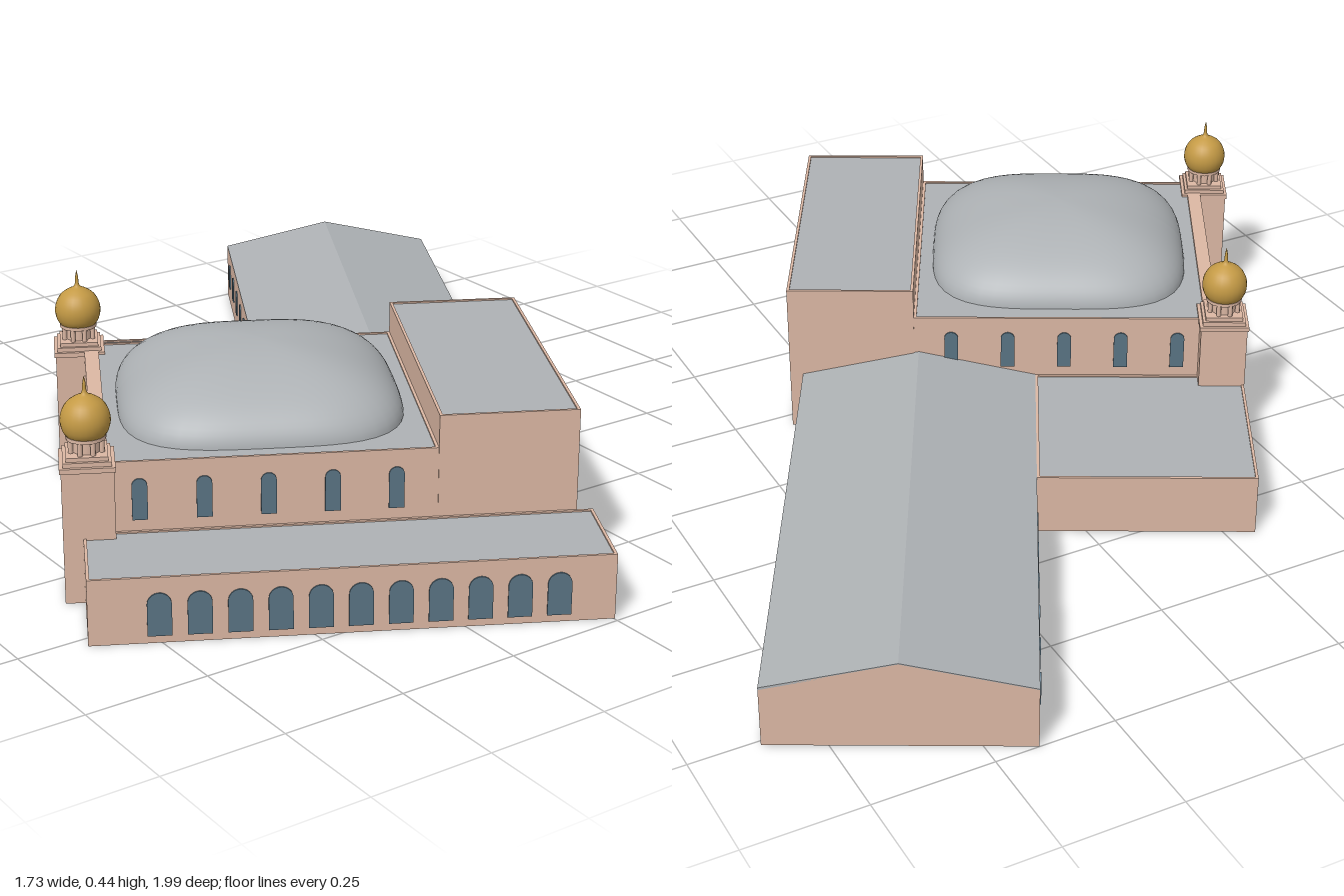
import * as THREE from 'three';

const mat = (color, extra = {}) => new THREE.MeshStandardMaterial({ color, ...extra });
const WALL = mat(0xdcb8a4, { side: THREE.DoubleSide });
const ROOF = mat(0xaeb2b5, { side: THREE.DoubleSide });
const GLASS = mat(0x5a7484);
const GOLD = mat(0xc49a45);
const RIM = 0.006;

function add(parent, name, geo, material, x = 0, y = 0, z = 0, ry = 0) {
  const m = new THREE.Mesh(geo, material);
  m.name = name;
  m.position.set(x, y, z);
  m.rotation.y = ry;
  parent.add(m);
  return m;
}

function box(parent, name, x0, x1, y0, y1, z0, z1, material) {
  return add(parent, name, new THREE.BoxGeometry(x1 - x0, y1 - y0, z1 - z0), material,
    (x0 + x1) / 2, (y0 + y1) / 2, (z0 + z1) / 2);
}

// Hollow building block: a ring of thin walls, open below, with a recessed flat roof
function block(parent, name, x0, x1, z0, z1, h) {
  const g = new THREE.Group();
  g.name = name;
  box(g, 'frontWall', x0, x1, 0, h, z1 - RIM, z1, WALL);
  box(g, 'backWall', x0, x1, 0, h, z0, z0 + RIM, WALL);
  box(g, 'leftWall', x1 - RIM, x1, 0, h, z0 + RIM, z1 - RIM, WALL);
  box(g, 'rightWall', x0, x0 + RIM, 0, h, z0 + RIM, z1 - RIM, WALL);
  box(g, 'flatRoof', x0 + RIM, x1 - RIM, h - 0.009, h - 0.003, z0 + RIM, z1 - RIM, ROOF);
  parent.add(g);
}

// Round-headed window pane, standing on its sill
function archGeometry(w, h) {
  const s = new THREE.Shape();
  s.moveTo(-w / 2, 0);
  s.lineTo(w / 2, 0);
  s.lineTo(w / 2, h - w / 2);
  s.absarc(0, h - w / 2, w / 2, 0, Math.PI, false);
  s.closePath();
  return new THREE.ExtrudeGeometry(s, { depth: 0.003, bevelEnabled: false, curveSegments: 8 });
}

// Evenly spaced windows between two points of a wall
function windowRow(parent, name, n, from, to, y, w, h, ry) {
  const geo = archGeometry(w, h);
  const g = new THREE.Group();
  g.name = name;
  for (let i = 0; i < n; i++) {
    const t = n > 1 ? i / (n - 1) : 0;
    add(g, 'archedWindow', geo, GLASS,
      from[0] + (to[0] - from[0]) * t, y, from[1] + (to[1] - from[1]) * t, ry);
  }
  parent.add(g);
}

function polygon(points) {
  return new THREE.Shape(points.map(([x, y]) => new THREE.Vector2(x, y)));
}

// Long wing with a low pitched roof
function gabledWing(parent) {
  const g = new THREE.Group();
  g.name = 'gabledWing';
  const x0 = -0.105, x1 = 0.405, xm = 0.15, z0 = -1.075, z1 = 0.01, eave = 0.133, ridge = 0.19;
  box(g, 'leftWall', x1 - RIM, x1, 0, eave - 0.002, z0, z1, WALL);
  box(g, 'rightWall', x0, x0 + RIM, 0, eave - 0.002, z0, z1, WALL);
  const gable = new THREE.ExtrudeGeometry(
    polygon([[x0, 0], [x1, 0], [x1, eave - 0.002], [xm, ridge - 0.002], [x0, eave - 0.002]]),
    { depth: RIM, bevelEnabled: false });
  for (const z of [z0, z1 - RIM]) add(g, 'gableWall', gable, WALL, 0, 0, z);
  const t = 0.005;
  add(g, 'pitchedRoof', new THREE.ExtrudeGeometry(
    polygon([[x0, eave - t], [xm, ridge - t], [x1, eave - t], [x1, eave], [xm, ridge], [x0, eave]]),
    { depth: z1 - z0, bevelEnabled: false }), ROOF, 0, 0, z0);
  windowRow(g, 'leftWindows', 10, [x1, -0.995], [x1, -0.075], 0.045, 0.03, 0.06, Math.PI / 2);
  windowRow(g, 'rightWindows', 6, [x0, -0.995], [x0, -0.484], 0.045, 0.03, 0.06, -Math.PI / 2);
  parent.add(g);
}

// Cushion-shaped dome: a half ellipsoid over a rounded square
function cushionDome(r, h) {
  const geo = new THREE.SphereGeometry(1, 64, 20, 0, Math.PI * 2, 0, Math.PI / 2);
  const p = geo.attributes.position;
  const n = 3.5;
  for (let i = 0; i < p.count; i++) {
    const x = p.getX(i), z = p.getZ(i), d = Math.hypot(x, z);
    const k = d < 1e-6 ? 0 : r * d / Math.pow(Math.abs(x) ** n + Math.abs(z) ** n, 1 / n);
    p.setXYZ(i, x * k, p.getY(i) * h, z * k);
  }
  geo.computeVertexNormals();
  return geo;
}

// Square corner tower with stepped cap, colonnaded lantern and golden dome
function tower(parent, x, z) {
  const g = new THREE.Group();
  g.name = 'cornerTower';
  g.position.set(x, 0, z);
  box(g, 'shaft', -0.05, 0.05, 0, 0.272, -0.05, 0.05, WALL);
  box(g, 'cornice', -0.053, 0.053, 0.268, 0.278, -0.053, 0.053, WALL);
  box(g, 'lowerStep', -0.046, 0.046, 0.278, 0.287, -0.046, 0.046, WALL);
  box(g, 'upperStep', -0.04, 0.04, 0.287, 0.295, -0.04, 0.04, WALL);
  add(g, 'lanternCore', new THREE.CylinderGeometry(0.027, 0.027, 0.035, 16), WALL, 0, 0.31, 0);
  const column = new THREE.CylinderGeometry(0.005, 0.005, 0.032, 8);
  for (let i = 0; i < 8; i++) {
    const a = (i + 0.5) * Math.PI / 4;
    add(g, 'lanternColumn', column, WALL, 0.032 * Math.cos(a), 0.309, 0.032 * Math.sin(a));
  }
  add(g, 'lanternRing', new THREE.CylinderGeometry(0.039, 0.039, 0.007, 16), WALL, 0, 0.324, 0);
  const profile = [[0.036, 0.325], [0.044, 0.337], [0.048, 0.355], [0.045, 0.374], [0.035, 0.391],
    [0.02, 0.402], [0.008, 0.408], [0.004, 0.416], [0.003, 0.43], [0, 0.445]];
  add(g, 'goldenDome', new THREE.LatheGeometry(
    new THREE.SplineCurve(profile.map(([r, y]) => new THREE.Vector2(r, y))).getPoints(30), 24), GOLD);
  parent.add(g);
}

export function createModel() {
  const model = new THREE.Group();
  model.name = 'domedHall';
  const site = new THREE.Group();
  site.name = 'building';
  site.rotation.y = -0.486;
  model.add(site);

  // Main masses
  block(site, 'mainHall', -0.5, 0.16, 0.01, 0.665, 0.275);
  block(site, 'tallBlock', 0.16, 0.433, 0.008, 0.667, 0.342);
  block(site, 'frontWing', -0.522, 0.465, 0.667, 0.875, 0.133);
  block(site, 'backWing', -0.559, -0.105, -0.395, 0.01, 0.133);
  gabledWing(site);

  // Parapet, dome and towers of the main hall
  box(site, 'entranceParapet', -0.5, -0.47, 0.255, 0.279, 0.02, 0.65, WALL);
  add(site, 'cushionDome', cushionDome(0.285, 0.13), ROOF, -0.158, 0.267, 0.34);
  for (const z of [0.02, 0.645]) tower(site, -0.51, z);

  // Windows
  windowRow(site, 'frontWingArches', 11, [-0.39, 0.875], [0.357, 0.875], 0.015, 0.046, 0.087, 0);
  windowRow(site, 'hallFrontWindows', 5, [-0.413, 0.665], [0.079, 0.665], 0.155, 0.03, 0.085, 0);
  windowRow(site, 'hallBackWindows', 5, [-0.413, 0.01], [0.079, 0.01], 0.155, 0.03, 0.085, Math.PI);
  windowRow(site, 'tallBlockWindows', 4, [0.433, 0.103], [0.433, 0.587], 0.16, 0.031, 0.105, Math.PI / 2);
  windowRow(site, 'entranceArches', 5, [-0.5, 0.165], [-0.5, 0.525], 0.012, 0.066, 0.125, -Math.PI / 2);
  windowRow(site, 'entranceUpperWindows', 9, [-0.5, 0.145], [-0.5, 0.545], 0.165, 0.03, 0.05, -Math.PI / 2);
  return model;
}
